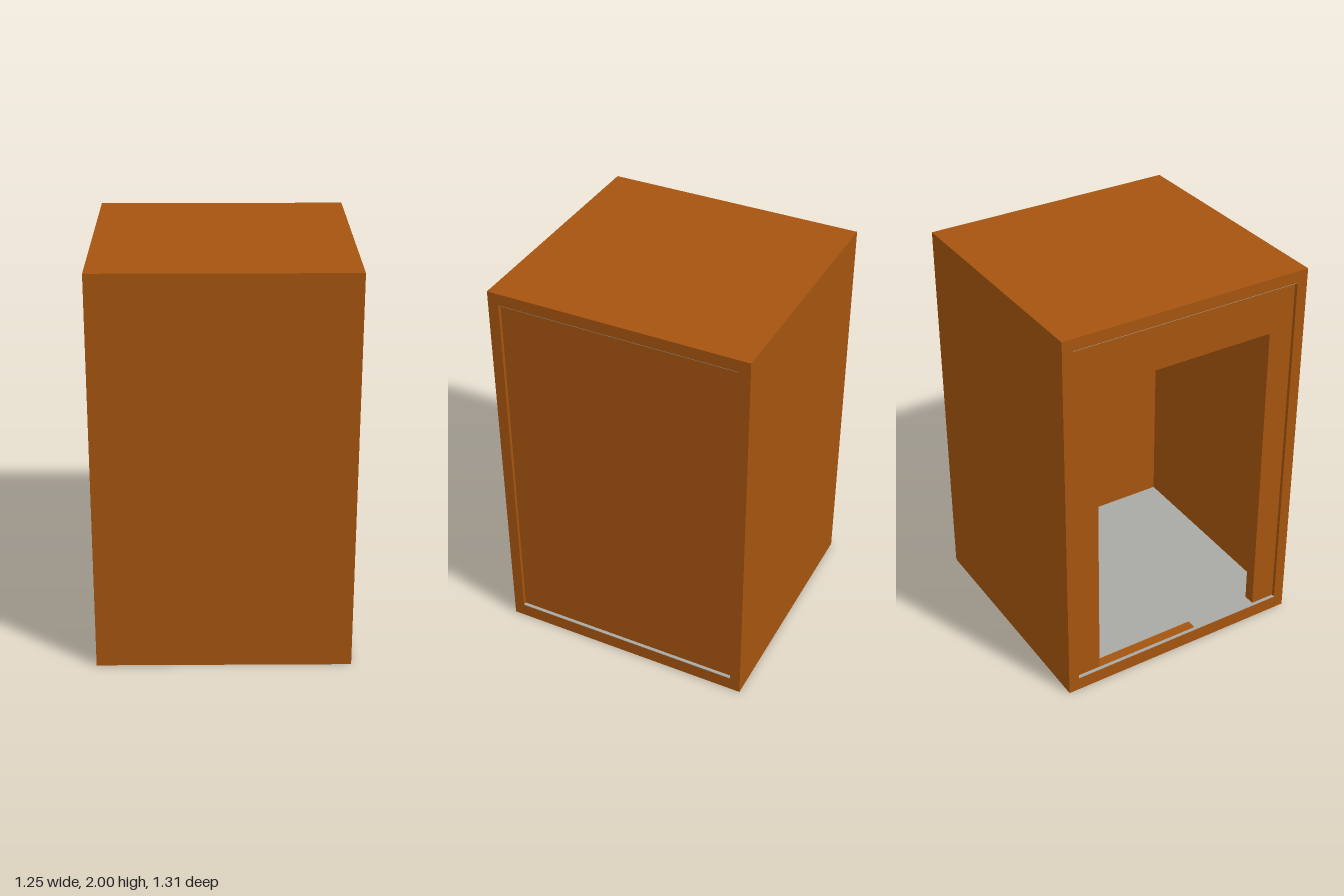
import * as THREE from 'three';

const W = 1.255, H = 2, D = 1.31;        // outer size
const IN_Z = 0.6, FLOOR = 0.07, CEIL = 1.94; // inner cavity
const PANEL = 0.06, RECESS = 0.018;

export function createModel() {
  const group = new THREE.Group();
  group.name = 'cabin';
  const orange = new THREE.MeshStandardMaterial({ color: 0xa5540e });
  orange.name = 'burnt orange';
  const grey = new THREE.MeshStandardMaterial({ color: 0xa8a8a5 });
  grey.name = 'pale grey';

  function add(name, geometry, material) {
    const mesh = new THREE.Mesh(geometry, material);
    mesh.name = name;
    group.add(mesh);
    return mesh;
  }
  // Box given by its lower and upper corners
  function box(name, a, b, material) {
    const g = new THREE.BoxGeometry(b[0] - a[0], b[1] - a[1], b[2] - a[2]);
    g.translate((a[0] + b[0]) / 2, (a[1] + b[1]) / 2, (a[2] + b[2]) / 2);
    return add(name, g, material);
  }
  function rect(Type, x0, y0, x1, y1) {
    const s = new Type();
    s.moveTo(x0, y0);
    s.lineTo(x1, y0);
    s.lineTo(x1, y1);
    s.lineTo(x0, y1);
    s.closePath();
    return s;
  }

  // Outer shell: a square tube running from side to side
  const shell = rect(THREE.Shape, -D / 2, 0.01, D / 2, H);
  shell.holes.push(rect(THREE.Path, -IN_Z, FLOOR, IN_Z, CEIL));
  const shellGeo = new THREE.ExtrudeGeometry(shell, { depth: W, bevelEnabled: false });
  shellGeo.translate(0, 0, -W / 2).rotateY(Math.PI / 2);
  add('outerShell', shellGeo, orange);

  // Shallow rim under the base
  const rim = rect(THREE.Shape, -W / 2, -D / 2, W / 2, D / 2);
  rim.holes.push(rect(THREE.Path, -W / 2 + 0.055, -IN_Z, W / 2 - 0.055, IN_Z));
  const rimGeo = new THREE.ExtrudeGeometry(rim, { depth: 0.01, bevelEnabled: false });
  rimGeo.rotateX(-Math.PI / 2);
  add('baseRim', rimGeo, orange);

  // Grey linings on the floor and ceiling
  const w = W / 2 - 0.001;
  box('floorLining', [-w, FLOOR, -IN_Z], [w, FLOOR + 0.003, IN_Z], grey);
  box('ceilingLining', [-w, CEIL - 0.003, -IN_Z], [w, CEIL, IN_Z], grey);

  // Closed side panel, slightly recessed
  const out = W / 2 - RECESS;
  box('closedPanel', [out - PANEL, FLOOR, -IN_Z], [out, CEIL, IN_Z], orange);

  // Opposite side panel with a doorway down to the floor
  const door = new THREE.Shape();
  [[-IN_Z, FLOOR], [-0.47, FLOOR], [-0.47, 1.7], [0.47, 1.7], [0.47, FLOOR],
    [IN_Z, FLOOR], [IN_Z, CEIL], [-IN_Z, CEIL]]
    .forEach(([z, y], i) => (i ? door.lineTo(z, y) : door.moveTo(z, y)));
  const doorGeo = new THREE.ExtrudeGeometry(door, { depth: PANEL, bevelEnabled: false });
  doorGeo.rotateY(Math.PI / 2).translate(-out, 0, 0);
  add('doorwayPanel', doorGeo, orange);

  // Thin threshold strip in the doorway
  box('threshold', [-out, FLOOR + 0.001, -0.47], [-out + 0.05, FLOOR + 0.005, 0.1], orange);

  return group;
}
